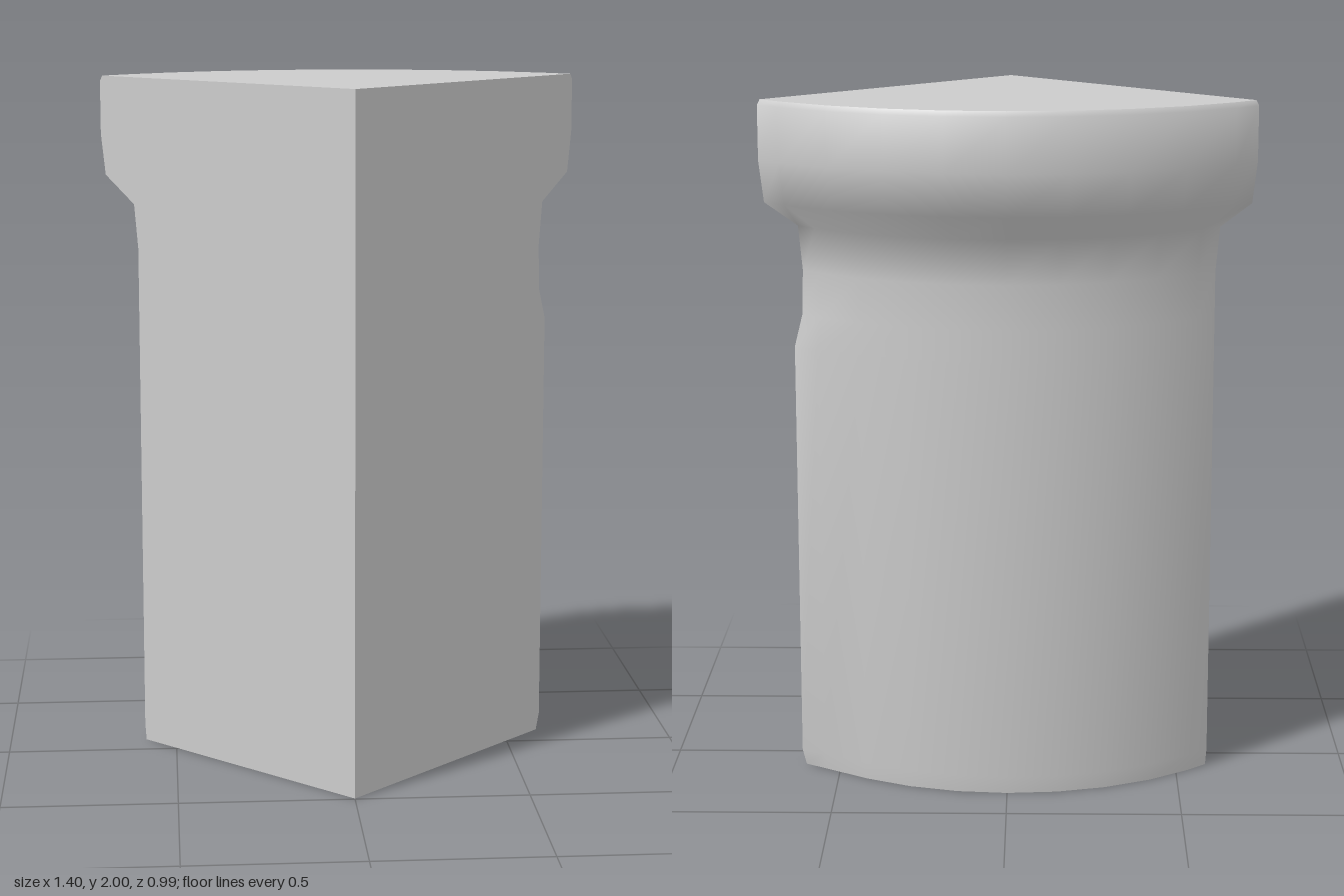
import * as THREE from 'three';
import { toCreasedNormals } from 'three/addons/utils/BufferGeometryUtils.js';

const APEX_Z = 0.495;
const ANGLES = [-45, -40, -30, -20, -10, 0, 10, 20, 30, 40, 45];

// Each level: height, radius, extra radius at the left (+x) end
const PROFILE = [
  [0, 0.835, 0.02],
  [0.05, 0.84, 0.03],
  [1.28, 0.84, 0.03],
  [1.37, 0.84, 0.0],
  [1.5, 0.84, -0.005],
  [1.63, 0.855, -0.005],
  [1.71, 0.972, 0],
  [1.83, 0.99, 0],
  [1.985, 0.99, 0],
  [2, 0.98, 0],
];

// One wedge-shaped cross-section: the apex, then the points of the arc
function section([y, radius, bulge]) {
  const points = [[0, y, APEX_Z]];
  for (const degrees of ANGLES) {
    const a = THREE.MathUtils.degToRad(degrees);
    const weight = degrees === 45 ? 1 : degrees === 40 ? 0.3 : 0;
    const r = radius + bulge * weight;
    points.push([r * Math.sin(a), y, APEX_Z - r * Math.cos(a)]);
  }
  return points;
}

function geometryOf(points, indices) {
  const geometry = new THREE.BufferGeometry();
  geometry.setAttribute('position', new THREE.Float32BufferAttribute(points.flat(), 3));
  geometry.setIndex(indices);
  return geometry;
}

// Walls joining the stacked cross-sections
function wallGeometry(sections) {
  const n = sections[0].length;
  const indices = [];
  for (let j = 0; j < sections.length - 1; j++) {
    for (let i = 0; i < n; i++) {
      const a = j * n + i;
      const b = j * n + ((i + 1) % n);
      indices.push(a, a + n, b, b, a + n, b + n);
    }
  }
  return toCreasedNormals(geometryOf(sections.flat(), indices), 1.0);
}

// Flat end face fanned from the apex
function endGeometry(points, up) {
  const indices = [];
  for (let i = 1; i < points.length - 1; i++) {
    indices.push(0, up ? i + 1 : i, up ? i : i + 1);
  }
  const geometry = geometryOf(points, indices);
  geometry.computeVertexNormals();
  return geometry;
}

export function createModel() {
  const group = new THREE.Group();
  group.name = 'quarterColumn';
  const material = new THREE.MeshStandardMaterial({ color: 0xcccccc });
  const add = (name, geometry) => {
    const mesh = new THREE.Mesh(geometry, material);
    mesh.name = name;
    group.add(mesh);
  };

  const sections = PROFILE.map(section);
  add('columnWall', wallGeometry(sections));
  add('topFace', endGeometry(sections[sections.length - 1], true));
  add('bottomFace', endGeometry(sections[0], false));
  return group;
}
